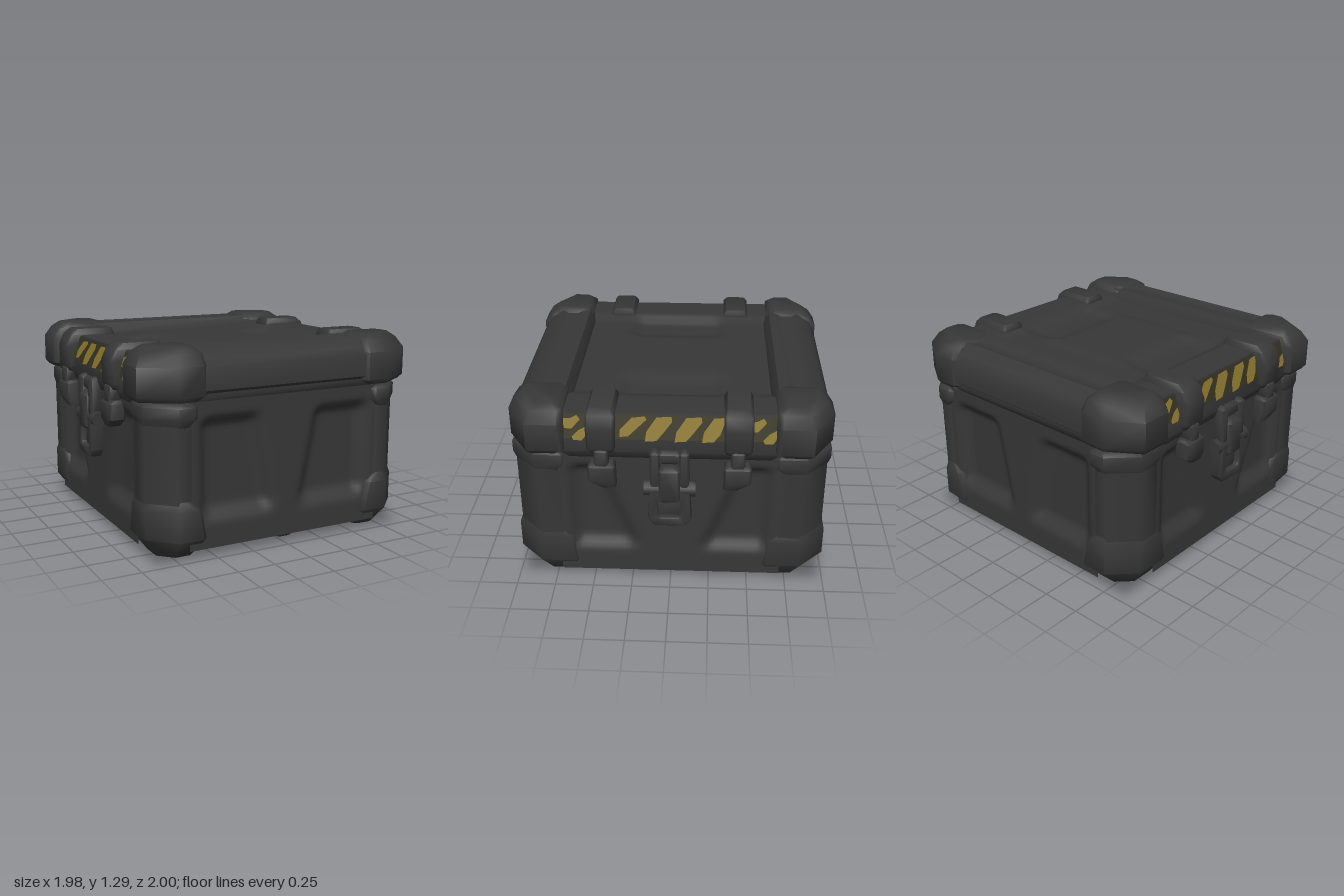
import * as THREE from 'three';
import { mergeVertices, toCreasedNormals } from 'three/addons/utils/BufferGeometryUtils.js';
import { ConvexGeometry } from 'three/addons/geometries/ConvexGeometry.js';

const casing = new THREE.MeshStandardMaterial({ color: 0x373737 });
casing.name = 'charcoal casing';
const yellow = new THREE.MeshStandardMaterial({ color: 0x8c762f });
yellow.name = 'hazard yellow';
const olive = new THREE.MeshStandardMaterial({ color: 0x35321f });
olive.name = 'worn olive';

const ss = THREE.MathUtils.smoothstep;
const lerp = THREE.MathUtils.lerp;

function add(parent, name, geometry, material = casing) {
  const mesh = new THREE.Mesh(geometry, material);
  mesh.name = name;
  parent.add(mesh);
  return mesh;
}

// Softly shaded convex solid from stacked sections [y, x0, x1, z0, z1, outerCutX, outerCutZ].
// The outer cut bevels the (x1, z1) corner; the other corners get a small bevel.
function stack(sections, sx = 1, sz = 1, bevel = 0.03) {
  const points = [];
  for (const [y, x0, x1, z0, z1, cx = bevel, cz = bevel] of sections) {
    const b = bevel;
    for (const [x, z] of [
      [x0 + b, z0], [x1 - b, z0], [x1, z0 + b], [x1, z1 - cz],
      [x1 - cx, z1], [x0 + b, z1], [x0, z1 - b], [x0, z0 + b],
    ]) points.push(new THREE.Vector3(x * sx, y, z * sz));
  }
  const geometry = new ConvexGeometry(points);
  geometry.deleteAttribute('normal');
  return toCreasedNormals(mergeVertices(geometry, 1e-4).toNonIndexed(), 0.9);
}

// Box with all edges bevelled
function block(x0, x1, y0, y1, z0, z1, b = 0.02) {
  const inner = [x0 + b, x1 - b, z0 + b, z1 - b];
  const outer = [x0, x1, z0, z1];
  return stack([[y0, ...inner], [y0 + b, ...outer], [y1 - b, ...outer], [y1, ...inner]], 1, 1, b * 0.6);
}

// Grid panel facing +z whose depth follows a rule
function panel(width, height, depth) {
  const geometry = new THREE.PlaneGeometry(width, height, 48, 36);
  const p = geometry.attributes.position;
  for (let i = 0; i < p.count; i++) p.setZ(i, depth(p.getX(i), p.getY(i)));
  geometry.computeVertexNormals();
  return geometry;
}

// Two recesses either side of a rib that narrows downwards
function wallDepth(ribLow, ribHigh, edge, depth) {
  return (u, v) => {
    const a = Math.abs(u), y = v + 0.515;
    const rib = lerp(ribLow, ribHigh, THREE.MathUtils.clamp((y - 0.27) / 0.56, 0, 1));
    return -depth * ss(a, rib, rib + 0.12) * (1 - ss(a, edge - 0.1, edge))
      * ss(y, 0.2, 0.33) * (1 - ss(y, 0.8, 0.89));
  };
}

function buildBody() {
  const body = new THREE.Group();
  body.name = 'body';
  const core = add(body, 'core', new THREE.BoxGeometry(1.64, 0.98, 1.78));
  core.position.y = 0.62;

  for (const s of [1, -1]) {
    const front = add(body, s > 0 ? 'frontWall' : 'backWall',
      panel(1.36, 0.91, wallDepth(0.05, 0.16, 0.63, 0.06)));
    front.position.set(0, 0.515, 0.975 * s);
    if (s < 0) front.rotation.y = Math.PI;
    const side = add(body, s > 0 ? 'leftWall' : 'rightWall',
      panel(1.42, 0.91, wallDepth(0.16, 0.38, 0.66, 0.055)));
    side.position.set(0.9 * s, 0.515, 0);
    side.rotation.y = s * Math.PI / 2;
  }

  // Corner posts, with a foot below and a collar above
  for (const sx of [1, -1]) for (const sz of [1, -1]) {
    add(body, 'cornerPost', stack([
      [0.25, 0.64, 0.903, 0.66, 0.98, 0.15, 0.15], [0.95, 0.64, 0.903, 0.66, 0.98, 0.15, 0.15],
    ], sx, sz));
    add(body, 'cornerFoot', stack([
      [0, 0.6, 0.82, 0.62, 0.88, 0.09, 0.09], [0.13, 0.56, 0.912, 0.58, 1, 0.16, 0.16],
      [0.32, 0.6, 0.912, 0.62, 1, 0.16, 0.16], [0.39, 0.66, 0.89, 0.68, 0.975, 0.15, 0.15],
    ], sx, sz));
    add(body, 'cornerCollar', stack([
      [0.82, 0.66, 0.9, 0.68, 0.978, 0.15, 0.15], [0.87, 0.62, 0.912, 0.64, 1, 0.16, 0.16],
      [0.94, 0.62, 0.912, 0.64, 1, 0.16, 0.16], [0.965, 0.64, 0.89, 0.66, 0.98, 0.15, 0.15],
    ], sx, sz));
  }

  // Underside with sunken pads between ribs
  const floor = add(body, 'underside', panel(1.8, 1.95, (x, z) => {
    const a = Math.abs(x), b = Math.abs(z);
    const across = ss(a, 0.1, 0.18) * (1 - ss(a, 0.5, 0.62));
    const along = (1 - ss(b, 0.14, 0.22)) + ss(b, 0.38, 0.46) * (1 - ss(b, 0.75, 0.85));
    return -0.05 * across * along;
  }));
  floor.rotation.x = Math.PI / 2;
  floor.position.y = 0.063;
  const bumps = [[0, 0.88], [0, -0.88]];
  for (const x of [-0.78, 0, 0.78]) bumps.push([x, 0.3], [x, -0.3]);
  for (const [x, z] of bumps) {
    add(body, 'undersideBump', stack([
      [0.04, x - 0.06, x + 0.06, z - 0.07, z + 0.07], [0.075, x - 0.11, x + 0.11, z - 0.09, z + 0.09],
    ]));
  }
  return body;
}

function buildLid() {
  const lid = new THREE.Group();
  lid.name = 'lid';
  // Deck with a sunken middle and a raised centre plate
  const deck = add(lid, 'deck', panel(1.74, 1.36, (x, z) => {
    const a = Math.abs(x), b = Math.abs(z);
    const sunk = lerp(0.055, 0.03, ss(b, 0.27, 0.34)) * (1 - ss(a, 0.56, 0.64));
    return 0.035 * (1 - ss(Math.max(a, b), 0.25, 0.4)) - sunk;
  }));
  deck.rotation.x = -Math.PI / 2;
  deck.position.y = 1.23;

  // Grooved front and back rails
  const profile = [[0.6, 0.94], [0.93, 0.94], [0.96, 0.98], [0.96, 1.01], [0.985, 1.03], [0.985, 1.16],
    [0.95, 1.22], [0.89, 1.255], [0.86, 1.27], [0.82, 1.255], [0.75, 1.255], [0.71, 1.27], [0.66, 1.27], [0.62, 1.2]];
  const shape = new THREE.Shape(profile.map(([z, y]) => new THREE.Vector2(-z, y)));
  const railGeometry = toCreasedNormals(
    new THREE.ExtrudeGeometry(shape, { depth: 1.3, bevelEnabled: false }).rotateY(Math.PI / 2).translate(-0.65, 0, 0), 0.8);
  for (const s of [1, -1]) {
    add(lid, s > 0 ? 'frontRail' : 'backRail', railGeometry).rotation.y = s > 0 ? 0 : Math.PI;
  }

  for (const sx of [1, -1]) for (const sz of [1, -1]) {
    add(lid, 'lidCorner', stack([
      [0.972, 0.6, 0.94, 0.67, 0.98, 0.2, 0.13], [1, 0.56, 0.962, 0.64, 1, 0.21, 0.13],
      [1.18, 0.56, 0.962, 0.64, 1, 0.21, 0.13], [1.25, 0.57, 0.92, 0.645, 0.955, 0.19, 0.12],
      [1.288, 0.61, 0.87, 0.68, 0.9, 0.15, 0.1],
    ], sx, sz));
  }
  return lid;
}

// Thin painted plate lying on the sloping lid side; corners given as [-z, y]
function paint(parent, name, corners, lift, material) {
  const geometry = new THREE.ShapeGeometry(new THREE.Shape(corners.map(([u, y]) => new THREE.Vector2(u, y))));
  geometry.rotateY(Math.PI / 2);
  const p = geometry.attributes.position;
  for (let i = 0; i < p.count; i++) p.setX(i, 0.92 + lift - (p.getY(i) - 1.06) * 0.294);
  geometry.computeVertexNormals();
  add(parent, name, geometry, material);
}

// Lid side, stripes, straps and latch for the +x side
function buildSide() {
  const side = new THREE.Group();
  add(side, 'lidSide', stack([
    [0.93, 0.66, 0.9, -0.62, 0.62], [0.98, 0.66, 0.92, -0.68, 0.68],
    [1.06, 0.66, 0.92, -0.68, 0.68], [1.23, 0.66, 0.87, -0.68, 0.68],
  ], 1, 1, 0.004));

  // Worn paint bands and slanted stripes
  for (const [a, b] of [[-0.64, -0.5], [-0.33, 0.33], [0.5, 0.64]]) {
    paint(side, 'paintBand', [[a, 1.07], [b, 1.07], [b, 1.22], [a, 1.22]], 0.003, olive);
  }
  for (const u of [-0.11, 0.07, 0.235]) {
    paint(side, 'stripe', [[u - 0.04, 1.06], [u + 0.03, 1.065], [u + 0.07, 1.11], [u + 0.125, 1.18],
      [u + 0.12, 1.21], [u + 0.03, 1.205], [u - 0.03, 1.12]].map(([x, y]) => [Math.min(x, 0.33), y]), 0.006, yellow);
  }
  paint(side, 'stripe', [[-0.3, 1.085], [-0.25, 1.09], [-0.14, 1.19], [-0.15, 1.21], [-0.23, 1.2], [-0.3, 1.13]], 0.006, yellow);
  for (const [u, y] of [[-0.6, 1.13], [0.52, 1.13]]) {
    paint(side, 'stripe', [[u - 0.04, y], [u + 0.01, y], [u + 0.06, y + 0.055], [u + 0.04, y + 0.08],
      [u, y + 0.06], [u - 0.04, y + 0.06]], 0.006, yellow);
  }
  for (const u of [-0.55, 0.6]) {
    paint(side, 'stripe', [[u - 0.03, 1.06], [u + 0.02, 1.06], [u + 0.045, 1.09], [u + 0.04, 1.14],
      [u, 1.12], [u - 0.04, 1.08]], 0.006, yellow);
  }

  // Straps over the lid, each with a link and a hanging tab
  for (const z of [0.415, -0.415]) {
    add(side, 'strap', stack([
      [0.985, 0.7, 0.945, z - 0.07, z + 0.07], [1.02, 0.64, 0.97, z - 0.085, z + 0.085],
      [1.16, 0.62, 0.975, z - 0.088, z + 0.088], [1.235, 0.62, 0.94, z - 0.088, z + 0.088],
      [1.272, 0.635, 0.9, z - 0.07, z + 0.07],
    ], 1, 1, 0.015));
    add(side, 'strapLink', block(0.88, 0.975, 0.88, 1.025, z - 0.043, z + 0.043));
    const tilt = 0.04 * Math.sign(z);
    add(side, 'strapTab', stack([
      [0.745, 0.88, 0.96, z - 0.045 - tilt, z + 0.045 - tilt], [0.8, 0.88, 0.985, z - 0.083, z + 0.083],
      [0.9, 0.88, 0.985, z - 0.083, z + 0.083], [0.918, 0.88, 0.965, z - 0.07, z + 0.07],
    ], 1, 1, 0.012));
  }

  // Central latch: open plate, hinge barrel, two arms and a lever
  const plate = new THREE.Shape([[-0.09, 0.485], [0.09, 0.485], [0.128, 0.53], [0.115, 0.74], [-0.115, 0.74], [-0.128, 0.53]]
    .map(([u, y]) => new THREE.Vector2(u, y)));
  plate.holes.push(new THREE.Path([[-0.08, 0.55], [-0.08, 0.66], [0.08, 0.66], [0.08, 0.55], [0.06, 0.53], [-0.06, 0.53]]
    .map(([u, y]) => new THREE.Vector2(u, y))));
  const plateGeometry = new THREE.ExtrudeGeometry(plate,
    { depth: 0.07, bevelThickness: 0.012, bevelSize: 0.008, bevelSegments: 2 });
  add(side, 'latchPlate', toCreasedNormals(plateGeometry.rotateY(Math.PI / 2).translate(0.895, 0, 0), 0.8));
  add(side, 'latchBacking', block(0.88, 0.94, 0.5, 0.74, -0.11, 0.11));
  const barrel = add(side, 'latchBarrel', new THREE.CylinderGeometry(0.05, 0.05, 0.32, 12));
  barrel.rotation.x = Math.PI / 2;
  barrel.position.set(0.93, 0.735, 0);
  for (const s of [1, -1]) add(side, 'latchArm', block(0.88, 0.97, 0.7, 1.01, s * 0.09 - 0.03, s * 0.09 + 0.03));
  add(side, 'latchHook', block(0.88, 0.955, 0.91, 1.0, -0.07, 0.07));
  add(side, 'latchLever', block(0.88, 0.992, 0.65, 0.905, -0.065, 0.065, 0.025));
  return side;
}

export function createModel() {
  const model = new THREE.Group();
  model.name = 'storageCrate';
  model.add(buildBody(), buildLid());
  for (const name of ['leftSide', 'rightSide']) {
    const side = buildSide();
    side.name = name;
    if (name === 'rightSide') side.rotation.y = Math.PI;
    model.add(side);
  }
  return model;
}
